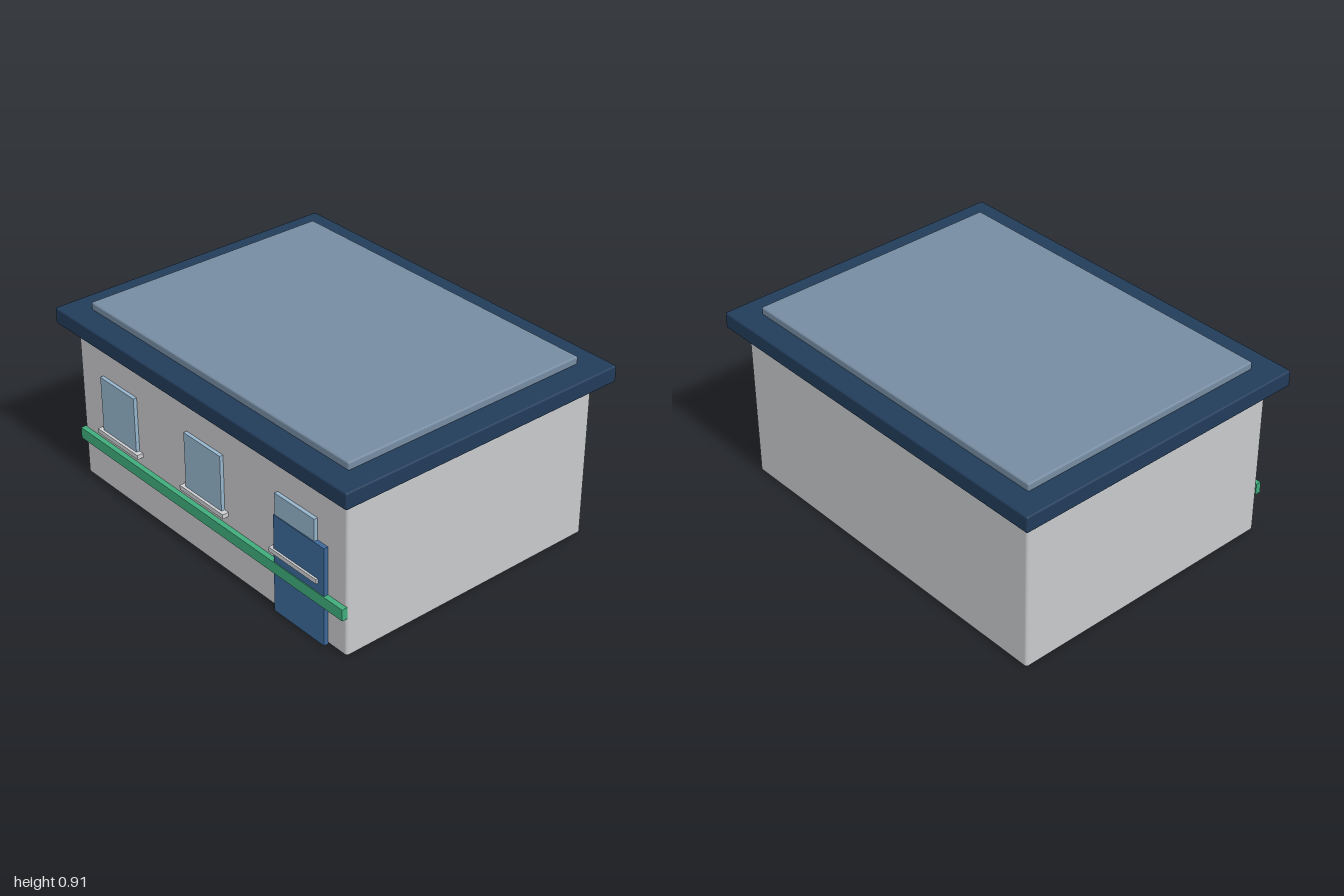
import * as THREE from 'three';
import { RoundedBoxGeometry } from 'three/addons/geometries/RoundedBoxGeometry.js';

const mat = (name, color) => {
  const m = new THREE.MeshStandardMaterial({ color });
  m.name = name;
  return m;
};

export function createModel() {
  const wall = mat('wall grey', 0xc8c9cb);
  const navy = mat('navy', 0x223c5a);
  const slate = mat('slate blue', 0x768ca2);
  const glass = mat('window blue', 0x96b5cc);
  const doorBlue = mat('door blue', 0x3c6898);
  const green = mat('green', 0x40ad7c);
  const sillGrey = mat('sill grey', 0xccced2);

  const group = new THREE.Group();
  group.name = 'building';

  // Box given by its extents; a radius rounds its edges
  const box = (name, material, [x0, x1], [y0, y1], [z0, z1], radius = 0) => {
    const size = [x1 - x0, y1 - y0, z1 - z0];
    const geometry = radius
      ? new RoundedBoxGeometry(...size, 3, radius)
      : new THREE.BoxGeometry(...size);
    const mesh = new THREE.Mesh(geometry, material);
    mesh.name = name;
    mesh.position.set((x0 + x1) / 2, (y0 + y1) / 2, (z0 + z1) / 2);
    group.add(mesh);
  };

  // Walls and flat roof
  box('walls', wall, [-0.928, 0.928], [0, 0.794], [-0.696, 0.696], 0.014);
  box('roofSlab', navy, [-1, 1], [0.792, 0.872], [-0.766, 0.766], 0.008);
  box('roofPanel', slate, [-0.88, 0.88], [0.868, 0.908], [-0.65, 0.65], 0.008);

  // Windows with sills
  for (const x of [-0.622, 0, 0.618]) {
    box('window', glass, [x - 0.127, x + 0.127], [0.322, 0.6], [0.694, 0.714]);
    box('windowSill', sillGrey, [x - 0.153, x + 0.153], [0.3, 0.322], [0.694, 0.728]);
  }

  // Door and the band running across the facade
  box('door', doorBlue, [0.486, 0.81], [0, 0.492], [0.694, 0.718]);
  box('facadeBand', green, [-0.928, 0.928], [0.198, 0.254], [0.694, 0.722]);

  return group;
}
